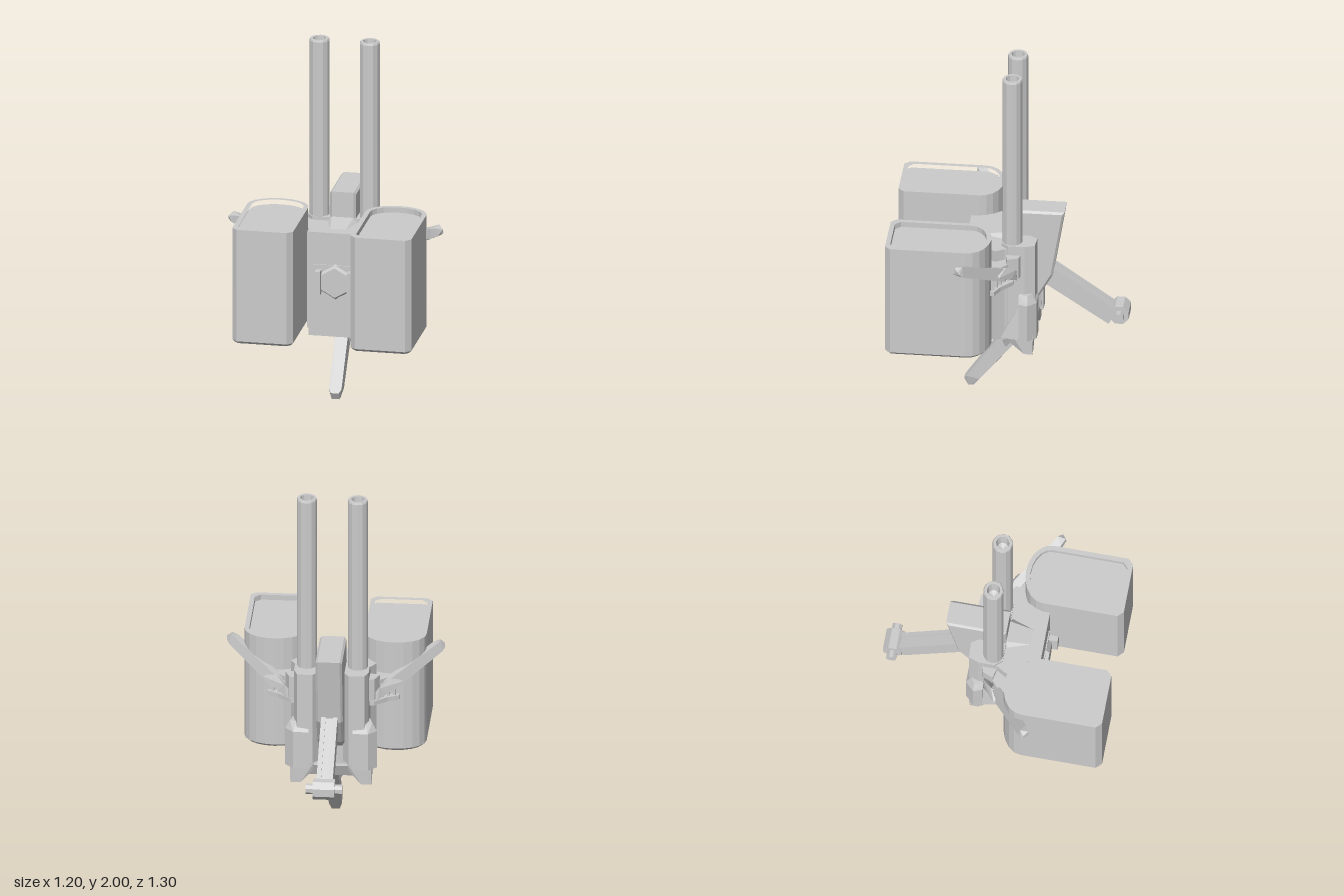
import * as THREE from 'three';
import { ConvexGeometry } from 'three/addons/geometries/ConvexGeometry.js';

const material = new THREE.MeshStandardMaterial({ color: 0xcccccc, flatShading: true });

export function createModel() {
  const model = new THREE.Group();

  const add = (name, geometry, x = 0, y = 0, z = 0) => {
    const mesh = new THREE.Mesh(geometry, material);
    mesh.name = name;
    mesh.position.set(x, y, z);
    model.add(mesh);
    return mesh;
  };
  const box = (name, x0, x1, y0, y1, z0, z1) =>
    add(name, new THREE.BoxGeometry(Math.abs(x1 - x0), y1 - y0, z1 - z0),
      (x0 + x1) / 2, (y0 + y1) / 2, (z0 + z1) / 2);
  // outline given as [x, z], raised from y0 to y1
  const planShape = (pts) => new THREE.Shape(pts.map(([x, z]) => new THREE.Vector2(x, -z)));
  const plan = (name, shape, y0, y1, bevel = 0) => {
    const g = new THREE.ExtrudeGeometry(shape, {
      depth: y1 - y0 - 2 * bevel, bevelEnabled: bevel > 0, bevelThickness: bevel,
      bevelSize: bevel, bevelOffset: -bevel, bevelSegments: 1,
    });
    g.rotateX(-Math.PI / 2);
    return add(name, g, 0, y0 + bevel, 0);
  };
  // outline given as [z, y], running from x0 to x1
  const side = (name, pts, x0, x1, bevel = 0) => {
    const g = new THREE.ExtrudeGeometry(new THREE.Shape(pts.map((p) => new THREE.Vector2(...p))), {
      depth: x1 - x0 - 2 * bevel, bevelEnabled: bevel > 0, bevelThickness: bevel,
      bevelSize: bevel, bevelOffset: -bevel, bevelSegments: 1,
    });
    g.rotateY(-Math.PI / 2);
    return add(name, g, x1 - bevel, 0, 0);
  };
  const hull = (name, pts, s = 1) =>
    add(name, new ConvexGeometry(pts.map(([x, y, z]) => new THREE.Vector3(x * s, y, z))));

  // Central body between the two pods
  const half = [[0.157, 0.243], [0.157, 0.2], [0.19, 0.12], [0.235, 0.07], [0.205, 0.02],
    [0.19, -0.06], [0.16, -0.1]];
  const mirrored = half.map(([x, z]) => [-x, z]).reverse();
  plan('body', planShape([...half, ...mirrored]), 0.41, 0.965);
  side('bodyBase', [[0.238, 0.365], [0.238, 0.43], [-0.13, 0.43], [-0.1, 0.36], [0, 0.385], [0.04, 0.365]],
    -0.15, 0.15);

  // Tapered block standing at the back
  side('rearBlock', [[0.04, 0.9], [0.04, 1.135], [-0.295, 1.135], [-0.23, 0.74], [-0.14, 0.58],
    [-0.06, 0.5], [-0.02, 0.9]], -0.073, 0.073, 0.012);
  hull('bodyRidge', [[-0.09, 0.96, 0.05], [0.09, 0.96, 0.05], [-0.04, 0.96, 0.2], [0.04, 0.96, 0.2],
    [-0.06, 0.99, 0.04], [0.06, 0.99, 0.04]]);

  // Front plate with hexagonal boss
  box('bossPlate', -0.12, 0.12, 0.595, 0.78, 0.2, 0.25);
  const boss = add('hexBoss', new THREE.CylinderGeometry(0.085, 0.105, 0.03, 6), 0, 0.685, 0.254);
  boss.rotation.x = Math.PI / 2;

  // Rear lever with a grooved face and a roller at its end
  const lever = [[-0.15, 0.7], [-0.535, 0.445], [-0.588, 0.53], [-0.2, 0.8]];
  side('rearLeverCore', lever.map(([z, y]) => [z * 0.995, y - 0.008]), -0.025, 0.025);
  for (const s of [1, -1]) side('rearLeverCheek', lever, s > 0 ? 0.02 : -0.045, s > 0 ? 0.045 : -0.02);
  const barX = (name, r, len, n) => {
    const g = new THREE.CylinderGeometry(r, r, len, n).rotateY(Math.PI / n).rotateZ(Math.PI / 2);
    add(name, g, 0, 0.51, -0.595);
  };
  barX('leverRoller', 0.057, 0.12, 8);
  barX('leverAxle', 0.029, 0.2, 8);

  // Spike below, slanting forward
  hull('lowerSpike', [-1, 1].flatMap((s) => [
    [s * 0.035, 0.4, 0.01], [s * 0.035, 0.35, -0.07], [s * 0.035, 0.065, 0.247],
    [s * 0.035, 0.05, 0.178], [s * 0.022, 0.045, 0.262], [s * 0.022, 0.005, 0.24], [s * 0.022, 0.005, 0.21]]));
  hull('spikeCollar', [-1, 1].flatMap((s) => [
    [s * 0.075, 0.39, 0.06], [s * 0.085, 0.39, -0.05], [s * 0.04, 0.31, 0.05],
    [s * 0.04, 0.3, 0.01], [s * 0.03, 0.25, 0.035]]));

  for (const s of [1, -1]) {
    // Pod: straight sides, rounded back, chamfered front, recessed lid
    const podOutline = (inset) => {
      const w = 0.17 - inset, f = 0.648 - inset, c = 0.03, pts = [];
      pts.push([-w, f - c], [-w + c, f], [w - c, f], [w, f - c]);
      for (let i = 0; i <= 10; i++) {
        const a = (i / 10) * Math.PI;
        pts.push([w * Math.cos(a), 0.2 - (0.122 - inset) * Math.sin(a)]);
      }
      return pts.map(([x, z]) => [s * (0.33 + x), z]);
    };
    plan('pod', planShape(podOutline(0)), 0.43, 1.06, 0.015);
    const rim = planShape(podOutline(0));
    rim.holes.push(new THREE.Path(podOutline(0.026).map(([x, z]) => new THREE.Vector2(x, -z))));
    plan('podRim', rim, 1.04, 1.09);

    // Barrel with a tapered bore
    const profile = [[0.056, 0.9], [0.056, 1.99], [0.052, 2], [0.037, 2], [0.03, 1.92], [0, 1.9]];
    add('barrel', new THREE.LatheGeometry(profile.map((p) => new THREE.Vector2(...p)), 12),
      s * 0.14, 0, -0.017);

    // Column carrying the barrel
    plan('barrelColumn', planShape([[0.065, 0.04], [0.17, 0.04], [0.205, 0.0], [0.205, -0.09],
      [0.185, -0.145], [0.1, -0.15], [0.065, -0.1]].map(([x, z]) => [s * x, z])), 0.45, 0.985);

    // Guard and foot at the lower back of the column
    const guard = [[0.12, -0.158], [0.205, -0.158], [0.252, -0.11], [0.235, -0.06], [0.14, -0.06]];
    hull('rearGuard', [
      ...guard.map(([x, z]) => [x, 0.42, z]),
      ...guard.map(([x, z]) => [x, 0.64, z]),
      ...guard.map(([x, z]) => [0.12 + (x - 0.12) * 0.8, 0.69, Math.max(z, -0.13)])], s);
    hull('rearFoot', [[0.09, 0.45, -0.14], [0.225, 0.45, -0.14], [0.225, 0.45, -0.02], [0.09, 0.45, 0],
      [0.165, 0.325, -0.135], [0.222, 0.325, -0.135], [0.222, 0.325, -0.09], [0.165, 0.335, -0.09],
      [0.1, 0.4, -0.13], [0.2, 0.39, 0.0], [0.13, 0.39, 0.0]], s);
    hull('lowerFin', [[0.17, 0.55, -0.04], [0.22, 0.57, -0.04], [0.22, 0.42, 0.04], [0.18, 0.42, 0.04],
      [0.24, 0.42, -0.06], [0.18, 0.4, -0.06], [0.22, 0.64, -0.07]], s);

    // Lug beside the hexagonal boss
    hull('bossLug', [0.24, 0.3].flatMap((z) => [[0.075, 0.62, z], [0.105, 0.62, z], [0.116, 0.65, z],
      [0.116, 0.72, z], [0.105, 0.755, z], [0.075, 0.755, z]]), s);

    // Ribbed bracket joining body and pod
    for (const y of [0.755, 0.875]) plan('bracketPlate', planShape([[0.17, -0.03], [0.23, -0.03],
      [0.3, 0.03], [0.36, 0.06], [0.36, 0.12], [0.17, 0.12]].map(([x, z]) => [s * x, z])), y, y + 0.025);
    for (let i = 0; i < 4; i++) {
      const x = s * (0.235 + i * 0.033), z = 0.015 + i * 0.015;
      box('bracketRib', x - 0.007, x + 0.007, 0.76, 0.89, z, 0.11);
    }
    hull('bracketHub', [0.8, 0.93].flatMap((y) => [[0.17, y, 0.02], [0.17, y, -0.08],
      [0.235, y, -0.06], [0.26, y, 0.0]]), s);

    // Side arm: pointed paddle at the root, slim bar up to the tip
    hull('armPaddle', [[0.2, 0.81, -0.05], [0.25, 0.8, -0.055], [0.285, 0.83, 0.03], [0.385, 0.88, 0.03],
      [0.34, 0.9, 0.05], [0.26, 0.87, -0.05], [0.31, 0.91, 0.0], [0.3, 0.83, -0.03]], s);
    hull('armBar', [[0.27, 0.82, 0.0], [0.33, 0.83, 0.0], [0.26, 0.88, 0.02], [0.31, 0.9, 0.0],
      [0.53, 0.965, 0.235], [0.585, 0.985, 0.205], [0.53, 1.025, 0.235], [0.575, 1.045, 0.21],
      [0.575, 0.995, 0.258], [0.6, 1.005, 0.225], [0.57, 1.035, 0.255], [0.598, 1.025, 0.235]], s);
  }

  return model;
}
